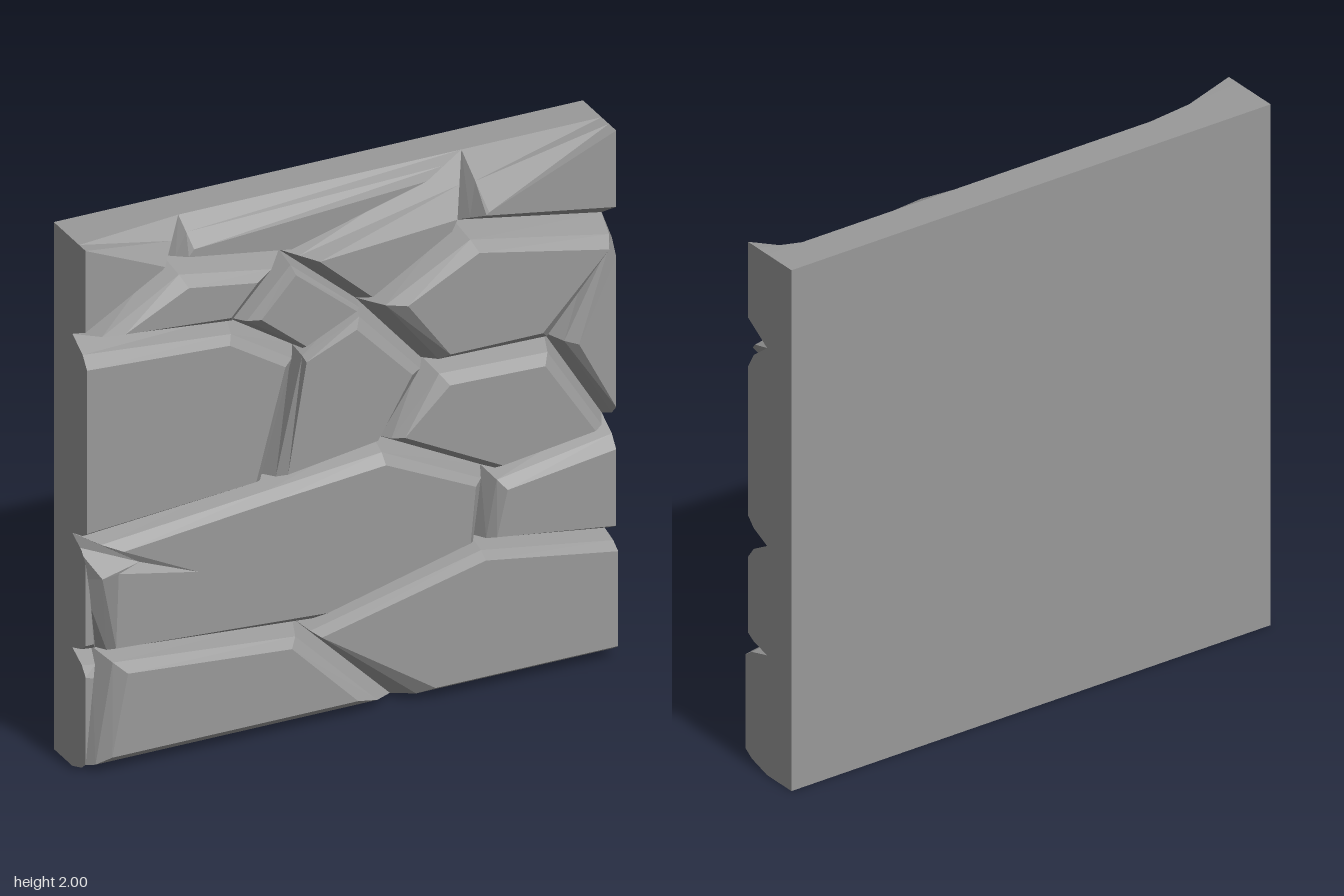
import * as THREE from 'three';

const BACK = -0.14;

// A bevelled stone. Each corner is [grooveX, grooveY, faceX, faceY]; the foot
// ring lies in the groove at z = 0, the cap at the given height.
function stoneGeometry(corners, height, round) {
  const foot = corners.map((c) => new THREE.Vector2(c[0], c[1]));
  const ring = THREE.ShapeUtils.isClockWise(foot) ? corners.slice().reverse() : corners;
  const n = ring.length;
  const pos = [];
  const put = (...points) => points.forEach((p) => pos.push(p.x, p.y, p.z));
  // foot, shoulder and cap cross-sections
  const levels = [[0, 0], [0.5, round], [1, 1]].map(([t, h]) =>
    ring.map((c) => new THREE.Vector3(
      THREE.MathUtils.lerp(c[0], c[2], t),
      THREE.MathUtils.lerp(c[1], c[3], t),
      h * height)));
  for (let l = 0; l < 2; l++) {
    for (let i = 0; i < n; i++) {
      const j = (i + 1) % n;
      const a = levels[l][i], b = levels[l][j], c = levels[l + 1][j], d = levels[l + 1][i];
      put(a, b, c, a, c, d);
    }
  }
  const cap = levels[2];
  const flat = cap.map((p) => new THREE.Vector2(p.x, p.y));
  for (const [a, b, c] of THREE.ShapeUtils.triangulateShape(flat, [])) put(cap[a], cap[b], cap[c]);
  const geo = new THREE.BufferGeometry();
  geo.setAttribute('position', new THREE.Float32BufferAttribute(pos, 3));
  geo.computeVertexNormals();
  return geo;
}

export function createModel() {
  const group = new THREE.Group();
  group.name = 'stoneWallTile';
  const stoneGrey = new THREE.MeshStandardMaterial({ color: 0x999999, flatShading: true });
  stoneGrey.name = 'stoneGrey';

  // Flat backing behind the stones
  const slab = new THREE.Mesh(new THREE.BoxGeometry(2, 2, -BACK), stoneGrey);
  slab.name = 'backingSlab';
  slab.position.set(0, 1, BACK / 2);
  group.add(slab);

  const stone = (name, height, corners, round = 0.7) => {
    const mesh = new THREE.Mesh(stoneGeometry(corners, height, round), stoneGrey);
    mesh.name = name;
    group.add(mesh);
  };

  // Bottom course
  stone('bottomRightStone', 0.12, [
    [-0.93, 0.44, -0.85, 0.37], [-0.17, 0.37, -0.23, 0.32],
    [0.2, 0, 0.02, 0.065], [-1, 0, -0.91, 0.065]]);
  stone('bottomLeftStone', 0.125, [
    [-0.17, 0.37, -0.12, 0.34], [0.5, 0.535, 0.5, 0.49], [1, 0.46, 1, 0.41],
    [1, 0, 1, 0.05], [0.2, 0, 0.31, 0.05]]);
  stone('lowerEdgeSliver', 0.1, [
    [-1, 0.45, -1, 0.38], [-0.93, 0.44, -0.97, 0.37], [-1, 0, -1, 0.05]]);

  // Long course with a chipped corner
  stone('longStone', 0.11, [
    [-1, 0.885, -0.86, 0.83], [-0.3, 0.95, -0.3, 0.89], [0.13, 1, 0.13, 0.93],
    [0.54, 0.79, 0.47, 0.77], [0.5, 0.535, 0.45, 0.56], [-0.17, 0.37, -0.09, 0.42],
    [-0.93, 0.44, -0.89, 0.47], [-0.97, 0.7, -0.88, 0.75], [-0.99, 0.83, -0.58, 0.69]]);
  stone('smallEdgeStone', 0.11, [
    [0.54, 0.79, 0.59, 0.73], [1, 0.88, 1, 0.79], [1, 0.46, 1, 0.5], [0.5, 0.535, 0.55, 0.56]]);
  stone('middleEdgeSliver', 0.1, [
    [-1, 0.885, -1, 0.81], [-0.97, 0.7, -0.985, 0.7], [-0.93, 0.44, -0.97, 0.5],
    [-1, 0.45, -1, 0.5]]);

  // Middle course
  stone('wideMiddleStone', 0.11, [
    [-1, 1.64, -1, 1.55], [-0.42, 1.57, -0.46, 1.52], [-0.17, 1.41, -0.25, 1.39],
    [-0.3, 0.95, -0.36, 0.98], [-1, 0.885, -1, 0.93]]);
  stone('centreStone', 0.11, [
    [-0.17, 1.41, -0.17, 1.39], [0.07, 1.53, 0.02, 1.47], [0.32, 1.25, 0.23, 1.25],
    [0.13, 1, 0.1, 1.03], [-0.3, 0.95, -0.24, 0.98]]);
  stone('middleLeftStone', 0.115, [
    [0.32, 1.25, 0.37, 1.18], [0.78, 1.235, 0.73, 1.17], [1, 0.88, 0.92, 0.88],
    [0.54, 0.79, 0.57, 0.83], [0.13, 1, 0.2, 1.02]]);
  stone('triangularEdgeStone', 0.11, [
    [0.78, 1.235, 0.86, 1.22], [1, 1.64, 1, 1.52], [1, 0.88, 1, 0.95]]);

  // Upper course
  stone('upperLeftStone', 0.137, [
    [0.07, 1.53, 0.2, 1.53], [0.44, 1.74, 0.47, 1.67], [1, 1.64, 0.96, 1.57],
    [0.78, 1.235, 0.71, 1.31], [0.31, 1.25, 0.36, 1.31]]);
  stone('diamondStone', 0.11, [
    [-0.22, 1.78, -0.21, 1.73], [0.07, 1.53, 0.02, 1.54],
    [-0.17, 1.41, -0.17, 1.45], [-0.42, 1.57, -0.34, 1.59]]);
  stone('upperRightStone', 0.12, [
    [-1, 1.64, -0.86, 1.66], [-0.66, 1.86, -0.62, 1.78],
    [-0.22, 1.78, -0.36, 1.74], [-0.42, 1.57, -0.46, 1.63]]);

  // Top course, sloping back into the wall
  stone('topSlopedStone', 0.11, [
    [-0.22, 1.78, -0.12, 1.76], [0.47, 2, 0.4, 1.8],
    [0.44, 1.74, 0.38, 1.76], [0.07, 1.53, 0.08, 1.58]], 0.5);
  stone('topMiddleStone', 0.08, [
    [-0.6, 2, -0.58, 1.9], [0.47, 2, 0.3, 1.955],
    [-0.22, 1.78, -0.21, 1.815], [-0.66, 1.86, -0.6, 1.875]], 0.5);
  stone('topRightCorner', 0.1, [
    [-1, 2, -1, 2], [-0.6, 2, -0.7, 1.87], [-0.66, 1.86, -0.71, 1.86], [-1, 1.64, -1, 1.69]], 0.5);
  stone('topLeftCorner', 0.11, [
    [0.47, 2, 0.52, 1.8], [1, 2, 1, 2], [1, 1.64, 1, 1.71], [0.44, 1.74, 0.51, 1.79]], 0.5);

  return group;
}
